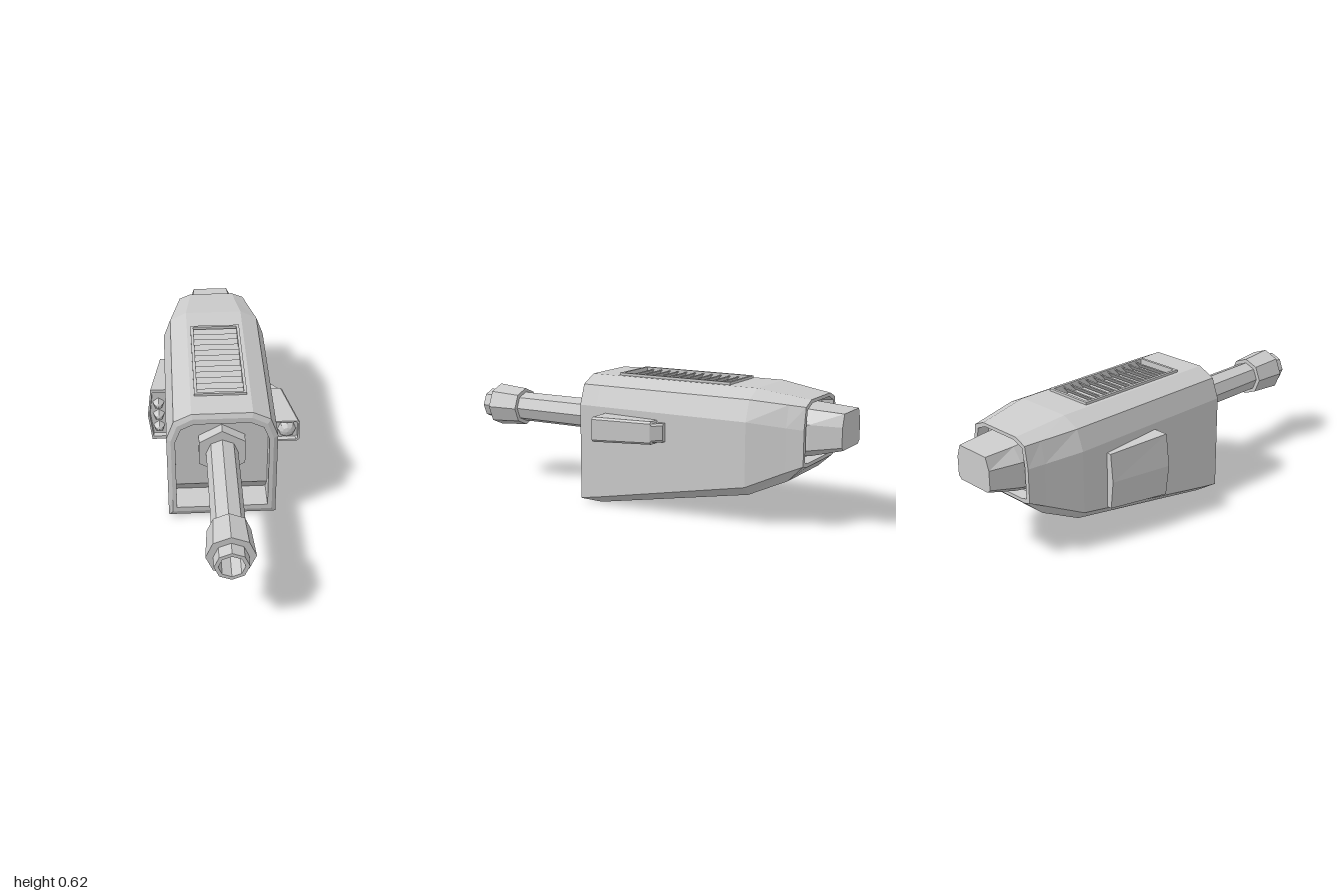
import * as THREE from 'three';

const CX = -0.015; // centre line of the housing

const material = new THREE.MeshStandardMaterial({ color: 0xcccccc, flatShading: true });

function add(parent, name, geometry, x = 0, y = 0, z = 0) {
  const mesh = new THREE.Mesh(geometry, material);
  mesh.name = name;
  mesh.position.set(x, y, z);
  parent.add(mesh);
  return mesh;
}

// Skin over rings of [x, y, z], each counter-clockwise seen from +z, closed by a cap at both ends.
function loft(rings, skip = () => false) {
  const n = rings[0].length;
  const index = [];
  for (let i = 0; i < rings.length - 1; i++) {
    for (let j = 0; j < n; j++) {
      if (skip(i, j)) continue;
      const k = (j + 1) % n, a = i * n, b = a + n;
      index.push(a + j, b + j, b + k, a + j, b + k, a + k);
    }
  }
  const last = (rings.length - 1) * n;
  for (let j = 1; j < n - 1; j++) {
    const p = (j + 1) % n, q = (j + 2) % n;
    index.push(1, p, q, last + 1, last + q, last + p);
  }
  const geometry = new THREE.BufferGeometry();
  geometry.setAttribute('position', new THREE.Float32BufferAttribute(rings.flat(2), 3));
  geometry.setIndex(index);
  const flat = geometry.toNonIndexed();
  flat.computeVertexNormals();
  return flat;
}

// Ring from its right half, listed bottom to top and mirrored.
function mirrored(z, half) {
  const right = half.map(([x, y, dz = 0]) => [x, y, z + dz]);
  return [...right, ...right.map(([x, y, pz]) => [-x, y, pz]).reverse()];
}

const ring = (z, points) => points.map(([x, y]) => [x, y, z]);

const shrink = (points, cx, cy, s, z) =>
  points.map(([x, y]) => [cx + (x - cx) * s, cy + (y - cy) * s, z]);

// Flat horizontal plate with a rectangular hole; rectangles are [halfWidth, zBack, zFront].
function plateWithHole(outer, inner, height) {
  const corners = ([w, z0, z1]) =>
    [[-w, -z1], [w, -z1], [w, -z0], [-w, -z0]].map(([x, y]) => new THREE.Vector2(x, y));
  const shape = new THREE.Shape(corners(outer));
  shape.holes.push(new THREE.Path(corners(inner)));
  return new THREE.ExtrudeGeometry(shape, { depth: height, bevelEnabled: false }).rotateX(-Math.PI / 2);
}

// Faceted half dome facing +z
const dome = (r, sides, bulge) =>
  new THREE.SphereGeometry(r, sides, 3, 0, Math.PI * 2, 0, Math.PI / 2)
    .rotateX(Math.PI / 2).rotateZ(-Math.PI / 2).scale(1, 1, bulge);

function buildHousing(parent) {
  const upper = [[0.257, 0.475], [0.222, 0.57], [0.14, 0.61]];
  const opening = [[0.217, 0.46], [0.19, 0.53], [0.13, 0.56]];
  const back = mirrored(-0.855,
    [[0.15, 0.28], [0.185, 0.29], [0.185, 0.45], [0.168, 0.55], [0.11, 0.575]]);
  const rings = [
    // recessed front panel with an undercut foot
    mirrored(0.2, [[0.217, 0.065, -0.07], [0.217, 0.152], ...opening]),
    mirrored(0.27, [[0.217, 0.065], [0.217, 0.152], ...opening]),
    // bevelled lip
    mirrored(0.27, [[0.237, 0.04], [0.237, 0.13], [0.237, 0.467], [0.207, 0.55], [0.135, 0.588]]),
    mirrored(0.26, [[0.252, 0.015], [0.257, 0.018], ...upper]),
    // shell
    mirrored(0.17, [[0.215, 0], [0.257, 0.033], ...upper]),
    mirrored(-0.61, [[0.215, 0.14], [0.257, 0.182], ...upper]),
    mirrored(-0.78, [[0.175, 0.215], [0.206, 0.258], [0.206, 0.457], [0.184, 0.556], [0.119, 0.585]]),
    back,
    // recessed rear
    shrink(back, 0, 0.43, 0.89, -0.855),
    shrink(back, 0, 0.43, 0.87, -0.8),
  ];
  // the flat of the roof is left open for the vented plate
  add(parent, 'housing', loft(rings, (i, j) => j === 4 && (i === 3 || i === 4)));
}

function buildVent(parent) {
  const vent = new THREE.Group();
  vent.name = 'roofVent';
  parent.add(vent);
  const hole = [0.108, -0.452, 0.107];
  add(vent, 'roofPlate', plateWithHole([0.14, -0.61, 0.26], hole, 0.035), 0, 0.575, 0);
  add(vent, 'ventFrame', plateWithHole([0.122, -0.465, 0.12], hole, 0.012), 0, 0.61, 0);
  add(vent, 'ventFloor', new THREE.BoxGeometry(0.24, 0.006, 0.58), 0, 0.574, -0.172);
  const count = 12, pitch = 0.559 / count;
  for (let i = 0; i < count; i++) {
    const slat = add(vent, 'ventSlat', new THREE.BoxGeometry(0.216, 0.005, 0.042),
      0, 0.598, -0.452 + (i + 0.5) * pitch);
    slat.rotation.x = 0.8;
  }
}

function buildBarrel(parent) {
  // octagonal barrel, flared muzzle sleeve and hollow bore
  const profile = [[0.075, 0.19], [0.075, 0.78], [0.095, 0.78], [0.107, 0.94], [0.075, 0.94],
    [0.075, 1], [0.057, 1], [0.057, 0.8], [0, 0.8]].map(([r, y]) => new THREE.Vector2(r, y));
  add(parent, 'barrel', new THREE.LatheGeometry(profile, 8).rotateX(Math.PI / 2), 0, 0.38, 0);
  add(parent, 'barrelFlange',
    new THREE.CylinderGeometry(0.124, 0.124, 0.06, 6).rotateX(Math.PI / 2), 0, 0.38, 0.225);
}

function buildTail(parent) {
  add(parent, 'tailBlock', loft([
    mirrored(-0.79, [[0.11, 0.315], [0.155, 0.35], [0.155, 0.47], [0.1, 0.535]]),
    mirrored(-0.86, [[0.105, 0.325], [0.147, 0.355], [0.147, 0.47], [0.1, 0.53]]),
    mirrored(-1, [[0.09, 0.36], [0.108, 0.375], [0.108, 0.465], [0.088, 0.522]]),
  ]));
}

function buildLampPod(parent) {
  const pod = new THREE.Group();
  pod.name = 'lampPod';
  parent.add(pod);
  const section = (xOut, y0, y1) => {
    const c = 0.01;
    return [[0.235, y0], [xOut - c, y0], [xOut, y0 + c], [xOut, y1 - c], [xOut - c, y1], [0.235, y1]];
  };
  const front = section(0.36, 0.33, 0.447);
  add(pod, 'lampHousing', loft([
    shrink(front, 0.302, 0.388, 0.84, 0.095),
    shrink(front, 0.302, 0.388, 0.86, 0.118),
    ring(0.118, front),
    ring(-0.16, section(0.302, 0.335, 0.442)),
    ring(-0.165, section(0.298, 0.345, 0.432)),
    ring(-0.205, section(0.265, 0.345, 0.432)),
  ]));
  add(pod, 'lampLens', dome(0.044, 8, 0.75), 0.3, 0.388, 0.094);
}

function buildSensorFin(parent) {
  const fin = new THREE.Group();
  fin.name = 'sensorFin';
  parent.add(fin);
  const front = [[-0.262, 0.142], [-0.262, 0.445], [-0.345, 0.445], [-0.363, 0.292], [-0.345, 0.142]];
  const back = [[-0.262, 0.16], [-0.262, 0.425], [-0.295, 0.425], [-0.308, 0.292], [-0.295, 0.16]];
  add(fin, 'finHousing', loft([
    shrink(front, -0.285, 0.293, 0.84, -0.19),
    shrink(front, -0.285, 0.293, 0.88, -0.17),
    ring(-0.17, front),
    ring(-0.47, back),
  ]));
  for (const y of [0.353, 0.284, 0.213]) add(fin, 'sensorLens', dome(0.03, 5, 1.2), -0.308, y, -0.19);
}

export function createModel() {
  const model = new THREE.Group();
  model.name = 'turretGun';
  const core = new THREE.Group();
  core.name = 'gunBody';
  core.position.x = CX;
  model.add(core);
  buildHousing(core);
  buildVent(core);
  buildBarrel(core);
  buildTail(core);
  buildLampPod(model);
  buildSensorFin(model);
  return model;
}
